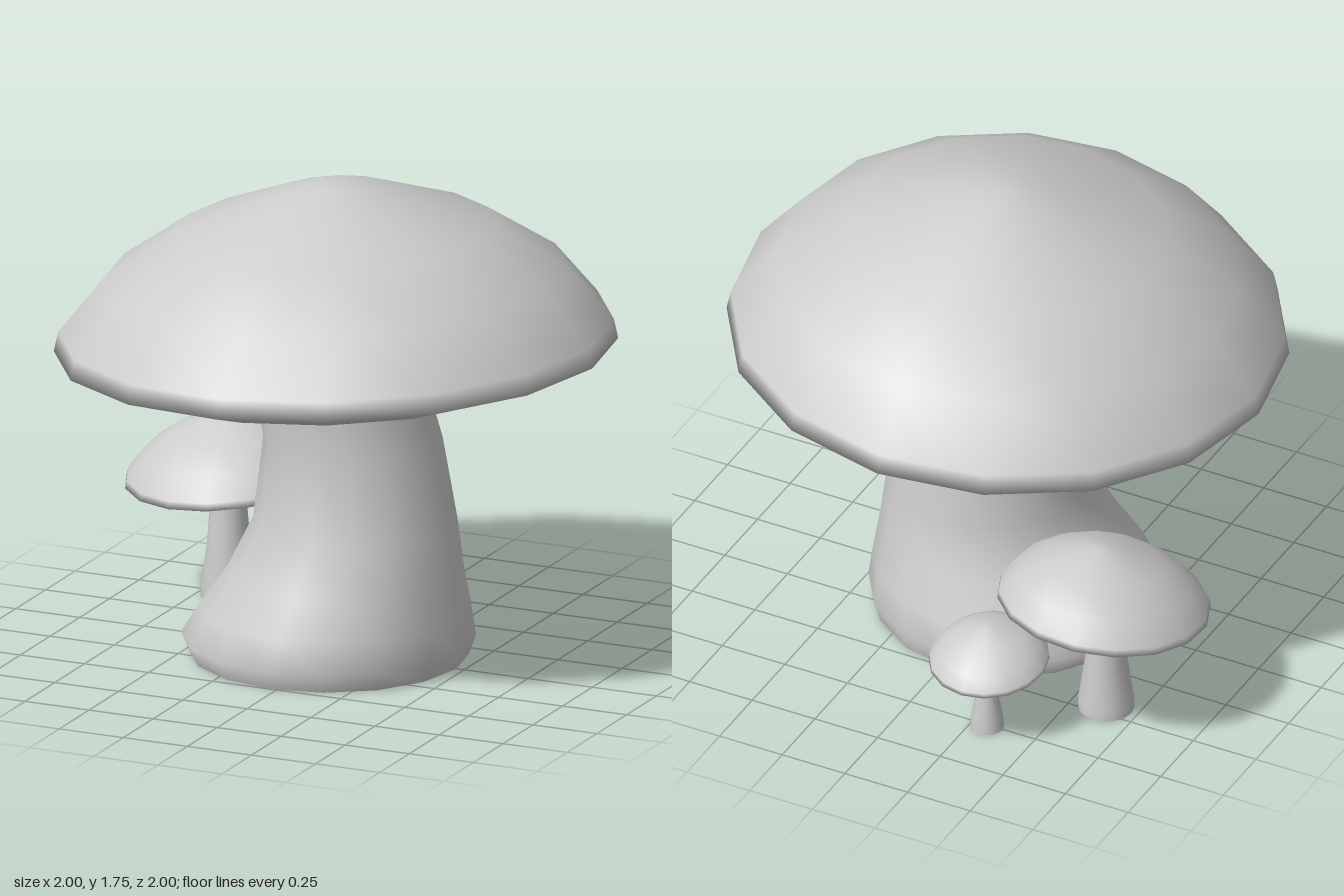
import * as THREE from 'three';
import { mergeVertices } from 'three/addons/utils/BufferGeometryUtils.js';

const SIDES = 16;
const material = new THREE.MeshStandardMaterial({ color: 0xcccccc });

// Smooth skin through rings [y, xMin, xMax, zMin, zMax], listed from the underside up
function loft(rings, phase = 0) {
  const positions = [], index = [];
  rings.forEach(([y, x0, x1, z0, z1], j) => {
    for (let i = 0; i < SIDES; i++) {
      const a = (i + phase) / SIDES * Math.PI * 2;
      positions.push((x0 + x1) / 2 + Math.cos(a) * (x1 - x0) / 2, y, (z0 + z1) / 2 + Math.sin(a) * (z1 - z0) / 2);
      if (j === rings.length - 1) continue;
      const p = j * SIDES + i, q = j * SIDES + (i + 1) % SIDES;
      index.push(p, p + SIDES, q + SIDES, p, q + SIDES, q);
    }
  });
  let geometry = new THREE.BufferGeometry();
  geometry.setAttribute('position', new THREE.Float32BufferAttribute(positions, 3));
  geometry.setIndex(index);
  geometry = mergeVertices(geometry); // joins the points at the poles
  geometry.computeVertexNormals();
  return geometry;
}

function part(name, geometry) {
  const mesh = new THREE.Mesh(geometry, material);
  mesh.name = name;
  return mesh;
}

const round = (y, r, x = 0, z = 0) => [y, x - r, x + r, z - r, z + r];

// Cap profile [radius, height above rim] for a cap of radius 1
const CAP = [[0, -0.11], [0.31, -0.11], [0.53, -0.08], [0.79, -0.07], [1, 0], [0.985, 0.07],
  [0.825, 0.265], [0.57, 0.435], [0.23, 0.56], [0.1, 0.597], [0, 0.605]];

// Cap leaning by a slope along x and z
function cap(r, x, y, z, slopeX, slopeZ, phase) {
  const geometry = loft(CAP.map(([cr, h]) => round(h * r, cr * r)), phase);
  const p = geometry.attributes.position;
  for (let i = 0; i < p.count; i++) p.setY(i, p.getY(i) + slopeX * p.getX(i) + slopeZ * p.getZ(i));
  geometry.computeVertexNormals();
  geometry.translate(x, y, z);
  return geometry;
}

// Stem skin with a separate flat base, so the bottom edge stays sharp
function mushroom(name, stemRings, capGeometry) {
  const group = new THREE.Group();
  group.name = name;
  const [y, x0, x1, z0, z1] = stemRings[0];
  group.add(
    part('stem', loft(stemRings)),
    part('stemBase', loft([round(y, 0, (x0 + x1) / 2, (z0 + z1) / 2), stemRings[0]])),
    part('cap', capGeometry),
  );
  return group;
}

export function createModel() {
  const model = new THREE.Group();
  model.name = 'mushroomCluster';

  // Large mushroom with a bent, flared stem
  model.add(mushroom('largeMushroom', [
    [0, -0.52, 0.47, -0.5, 0.5],
    [0.07, -0.55, 0.495, -0.52, 0.53],
    [0.18, -0.48, 0.48, -0.49, 0.5],
    [0.32, -0.38, 0.46, -0.42, 0.43],
    [0.51, -0.29, 0.435, -0.365, 0.35],
    [0.8, -0.265, 0.37, -0.35, 0.29],
    [1.06, -0.31, 0.305, -0.31, 0.31],
  ], cap(1, 0, 1.14, 0, 0.04, 0, 0)));

  // Medium mushroom behind on the right
  model.add(mushroom('mediumMushroom', [
    round(0, 0.1, -0.627, -0.45),
    round(0.04, 0.1, -0.627, -0.45),
    round(0.2, 0.077, -0.627, -0.45),
    round(0.43, 0.06, -0.632, -0.455),
  ], cap(0.38, -0.625, 0.46, -0.465, 0.07, -0.11, 0.5)));

  // Small mushroom at the back
  model.add(mushroom('smallMushroom', [
    round(0, 0.06, -0.31, -0.754),
    round(0.05, 0.056, -0.31, -0.754),
    round(0.13, 0.04, -0.31, -0.754),
    round(0.275, 0.032, -0.31, -0.752),
  ], cap(0.215, -0.31, 0.285, -0.74, 0, 0.14, 0)));

  return model;
}
